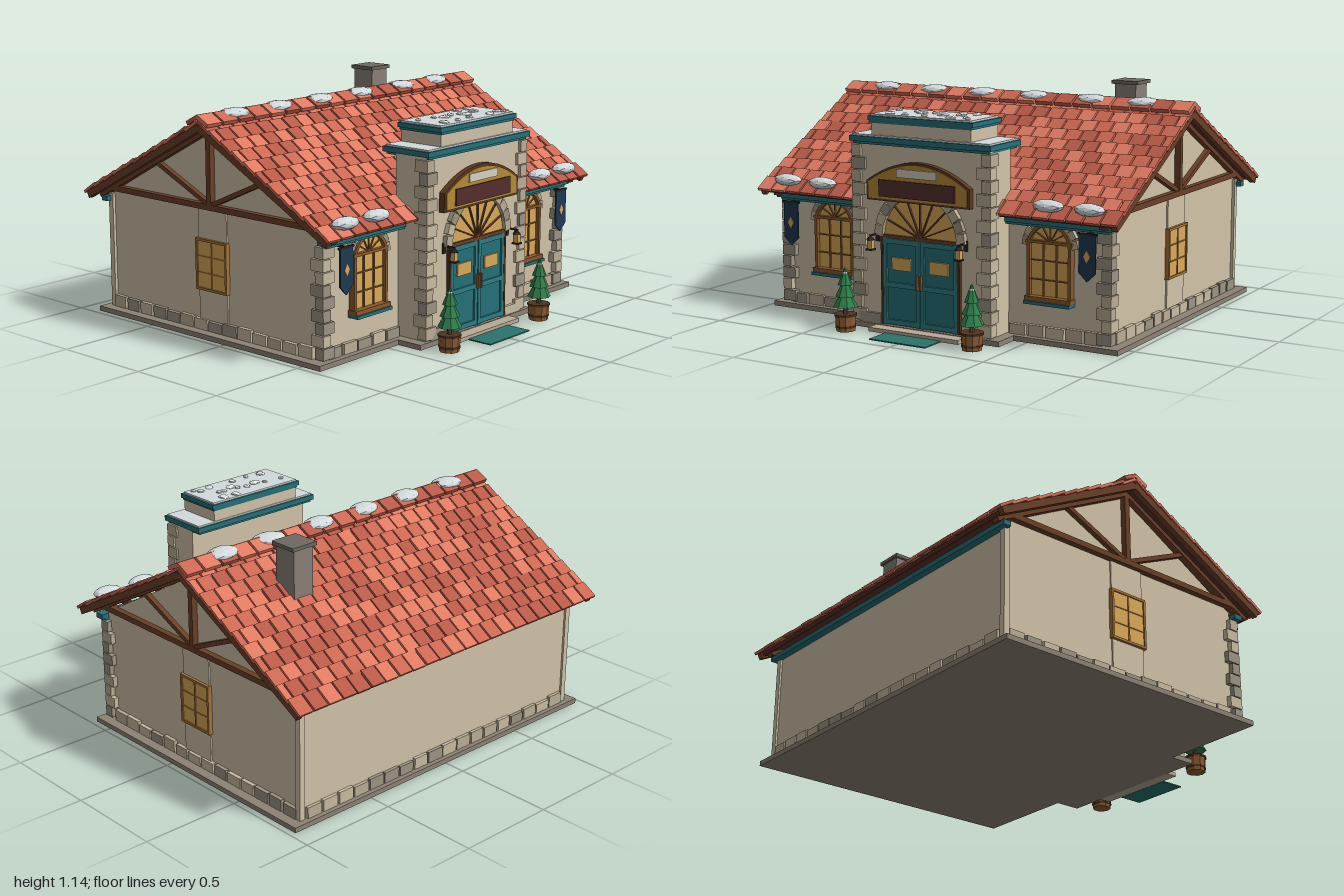
import * as THREE from 'three';
import { mergeGeometries } from 'three/addons/utils/BufferGeometryUtils.js';

const WALL = 0xd2c3a8, TEAL = 0x26707a, WOOD = 0x6b4028, GOLD = 0xdba95a, SNOW = 0xd3dadd, DARK = 0x2a2422;
const STONES = [0xbcae96, 0x9d9484, 0xcabca2], TILES = [0xe07a62, 0xcc6853, 0xb95a48];

let seed = 7;
const rnd = () => (seed = (seed * 16807) % 2147483647) / 2147483647;

function place(g, x, y, z, rx = 0, ry = 0, rz = 0) {
  return g.rotateZ(rz).rotateX(rx).rotateY(ry).translate(x, y, z);
}
const box = (w, h, d, x, y, z, rx, ry, rz) => place(new THREE.BoxGeometry(w, h, d), x, y, z, rx, ry, rz);
const cyl = (r1, r2, h, n, x, y, z) => new THREE.CylinderGeometry(r1, r2, h, n).translate(x, y, z);
const extrude = (shape, depth, x, y, z) =>
  new THREE.ExtrudeGeometry(shape, { depth, bevelEnabled: false, curveSegments: 14 }).translate(x, y, z);
const polygon = (pts) => new THREE.Shape(pts.map((p) => new THREE.Vector2(...p)));

// Outline with a straight lower part and a half-round head
function archShape(r, y0, y1) {
  const s = new THREE.Shape();
  s.moveTo(-r, y0);
  s.lineTo(r, y0);
  s.lineTo(r, y1);
  s.absarc(0, y1, r, 0, Math.PI, false);
  s.closePath();
  return s;
}
function archFrame(ro, ri, y0, y1, inset) {
  const s = archShape(ro, y0, y1);
  s.holes.push(archShape(ri, y0 + inset, y1));
  return s;
}

export function createModel() {
  const model = new THREE.Group();
  const add = (name, color, geoms, parent = model) => {
    const flat = geoms.map((g) => (g.index ? g.toNonIndexed() : g));
    const mat = new THREE.MeshStandardMaterial({ color, flatShading: true });
    const mesh = new THREE.Mesh(mergeGeometries(flat), mat);
    mesh.name = name;
    parent.add(mesh);
    return mesh;
  };
  // Spread pieces over the shades of a palette
  const addMixed = (name, palette, geoms, parent) => palette.forEach((c, i) => {
    const part = geoms.filter((g) => g.shade === i);
    if (part.length) add(name + (i + 1), c, part, parent);
  });
  const shade = (g, i = Math.floor(rnd() * 3)) => { g.shade = i; return g; };

  // Foundation, porch slab, step, mat
  add('foundation', 0x8d8375, [box(1.94, 0.025, 1.5, 0, 0.0125, -0.14), box(0.86, 0.025, 0.2, 0, 0.0125, 0.645)]);
  add('doorStep', 0xb9aa96, [box(0.5, 0.02, 0.1, 0, 0.012, 0.76)]);
  add('doorMat', 0x2a746c, [box(0.31, 0.006, 0.13, 0, 0.004, 0.875)]);

  // Walls with gables
  const profile = polygon([[-0.56, 0.02], [0.85, 0.02], [0.85, 0.6], [0.13, 0.99], [-0.56, 0.6]]);
  add('walls', WALL, [extrude(profile, 1.8, 0, 0, -0.9).rotateY(Math.PI / 2)]);
  add('cornerBoards', WALL, [-1, 1].flatMap((s) => [
    box(0.03, 0.58, 0.03, s * 0.9, 0.31, -0.845), box(0.016, 0.55, 0.19, s * 0.9, 0.35, -0.13)]));

  // Base stones around all sides
  const base = [];
  const course = (a, b, make) => {
    const n = Math.round((b - a) / 0.1), w = (b - a) / n;
    for (let i = 0; i < n; i++) {
      base.push(shade(make(a + (i + 0.5) * w, w * (0.82 + 0.14 * rnd()), 0.045 + 0.015 * rnd())));
    }
  };
  for (const s of [-1, 1]) {
    course(-0.84, 0.52, (z, w, h) => box(0.03, h, w, s * 0.905, 0.025 + h / 2, z));
    course(s < 0 ? -0.88 : 0.38, s < 0 ? -0.38 : 0.88, (x, w, h) => box(w, h, 0.03, x, 0.025 + h / 2, 0.565));
    course(s < 0 ? -0.36 : 0.22, s < 0 ? -0.22 : 0.36, (x, w, h) => box(w, h, 0.03, x, 0.025 + h / 2, 0.725));
  }
  course(-0.88, 0.88, (x, w, h) => box(w, h, 0.03, x, 0.025 + h / 2, -0.852));
  addMixed('baseStone', STONES, base);

  // Corner quoins of the house and the entrance tower
  const quoins = [];
  const quoinStack = (x, zFront, y1, n) => {
    const h = (y1 - 0.03) / n;
    for (let i = 0; i < n; i++) {
      const w = i % 2 ? 0.05 : 0.075, d = i % 2 ? 0.075 : 0.05;
      for (const s of [-1, 1]) {
        quoins.push(shade(box(w, h * 0.92, d, s * (x - w / 2), 0.03 + (i + 0.5) * h, zFront - d / 2)));
      }
    }
  };
  quoinStack(0.925, 0.59, 0.555, 9);
  quoinStack(0.385, 0.74, 0.885, 14);
  addMixed('quoin', STONES, quoins);

  // Roof: two mirrored slopes with staggered tiles
  const pitch = Math.atan(0.43 / 0.81), length = 0.917, rows = 11, step = length / rows, col = 2 / 23;
  for (const side of [0, 1]) {
    const slope = new THREE.Group();
    slope.name = side ? 'backRoofSlope' : 'frontRoofSlope';
    slope.position.set(0, 1.03, -0.13);
    slope.rotation.set(pitch, side * Math.PI, 0, 'YXZ');
    model.add(slope);
    add('roofDeck', 0x5a2f26, [box(1.97, 0.02, length - 0.01, 0, -0.01, length / 2 - 0.01)], slope);
    add('bargeBoards', WOOD, [-1, 1].map((s) => box(0.03, 0.035, length - 0.01, s * 0.975, -0.012, length / 2)), slope);
    const tiles = [];
    for (let r = 0; r < rows; r++) {
      const odd = r % 2;
      for (let c = 0; c < 23 + odd; c++) {
        const x0 = Math.max(-1, -1 + (c - odd * 0.5) * col), x1 = Math.min(1, -1 + (c + 1 - odd * 0.5) * col);
        const d = (r + 0.5) * step, lift = 0.004 * rnd();
        tiles.push(shade(box(x1 - x0 - 0.009, 0.014, step + 0.012, (x0 + x1) / 2, 0.011 + lift, d, 0.09)));
      }
    }
    addMixed('roofTile', TILES, tiles, slope);
  }
  const caps = [];
  for (let i = 0; i < 19; i++) {
    const w = 2 / 19, x = -1 + (i + 0.5) * w;
    for (const s of [-1, 1]) caps.push(shade(box(w - 0.012, 0.02, 0.08, x, 1.05, -0.13 + s * 0.033, s * pitch)));
  }
  addMixed('ridgeTile', TILES, caps);

  // Timber framing on both gables
  const timber = [];
  for (const s of [-1, 1]) {
    const x = s * 0.91;
    timber.push(box(0.04, 0.028, 1.46, x, 0.632, -0.13), box(0.04, 0.38, 0.028, x, 0.82, -0.13));
    for (const k of [-1, 1]) {
      timber.push(box(0.03, 0.022, 0.45, x, 0.728, -0.13 + k * 0.2, -k * 0.42));
      timber.push(box(0.04, 0.025, 0.88, x, 0.792, -0.13 + k * 0.39, k * pitch));
    }
  }
  add('gableTimbers', WOOD, timber);

  // Rafter tails and teal eaves boards
  const tails = [];
  for (const x of [0.44, 0.55, 0.66, 0.77, 0.88]) {
    for (const s of [-1, 1]) tails.push(box(0.025, 0.025, 0.08, s * x, 0.605, 0.6));
  }
  add('rafterTails', WOOD, tails);
  add('eavesBoards', TEAL, [-1, 1].flatMap((s) => [
    box(0.55, 0.026, 0.05, s * 0.66, 0.574, 0.59), box(0.53, 0.012, 0.04, s * 0.65, 0.555, 0.585)])
    .concat([box(1.88, 0.025, 0.04, 0, 0.575, -0.865)]));

  // Chimney
  add('chimney', 0x8a8079, [box(0.115, 0.4, 0.125, 0.525, 0.92, -0.395)]);
  add('chimneyCap', 0x6f6963, [box(0.145, 0.018, 0.145, 0.525, 1.127, -0.395)]);

  // Side windows
  for (const s of [-1, 1]) {
    const x = s * 0.91;
    add('sideWindowPane', GOLD, [box(0.012, 0.23, 0.19, x, 0.347, -0.13)]);
    const bars = [box(0.02, 0.25, 0.007, x, 0.347, -0.13)];
    for (const y of [0.307, 0.387]) bars.push(box(0.018, 0.006, 0.2, x, y, -0.13));
    for (const k of [-1, 1]) {
      bars.push(box(0.024, 0.25, 0.012, x, 0.347, -0.13 + k * 0.098), box(0.024, 0.012, 0.2, x, 0.347 + k * 0.119, -0.13));
    }
    add('sideWindowFrame', 0xa5733a, bars);
  }

  // Ring of wedge stones over an opening
  const archStones = (cx, cy, z, r, n, size) => Array.from({ length: n }, (_, i) => {
    const a = Math.PI * (i + 0.5) / n;
    return shade(box(size, Math.PI * r / n * 0.92, 0.04, cx + r * Math.cos(a), cy + r * Math.sin(a), z, 0, 0, a));
  });
  const fan = (cx, cy, z, r, n, t) => Array.from({ length: n }, (_, i) => {
    const a = Math.PI * (i + 1) / (n + 1);
    return box(r, t, 0.012, cx + r / 2 * Math.cos(a), cy + r / 2 * Math.sin(a), z, 0, 0, a);
  });

  // Arched front windows and hanging banners
  for (const s of [-1, 1]) {
    const x = s * 0.605, y = 0.455;
    add('frontWindowPane', GOLD, [extrude(archShape(0.105, 0.21, y), 0.02, x, 0, 0.555)]);
    const bars = [extrude(archFrame(0.115, 0.1, 0.2, y, 0.015), 0.04, x, 0, 0.555),
      box(0.24, 0.014, 0.03, x, 0.478, 0.58), box(0.24, 0.02, 0.05, x, 0.213, 0.585), ...fan(x, 0.478, 0.576, 0.085, 5, 0.005)];
    for (const k of [-1, 1]) bars.push(box(0.007, 0.26, 0.015, x + k * 0.034, 0.345, 0.575));
    for (const h of [0.3, 0.39]) bars.push(box(0.2, 0.006, 0.014, x, h, 0.575));
    add('frontWindowFrame', 0x8a5a2c, bars);
    add('frontWindowSill', TEAL, [box(0.24, 0.016, 0.06, x, 0.195, 0.59)]);
    addMixed('windowArchStone', STONES, archStones(x, y, 0.565, 0.128, 9, 0.035));

    const bx = s * 0.828;
    add('banner', 0x1f3a52, [extrude(polygon([[-0.043, 0.545], [-0.043, 0.37], [0, 0.33], [0.043, 0.37], [0.043, 0.545]]), 0.008, bx, 0, 0.636)]);
    add('bannerDiamond', GOLD, [extrude(polygon([[0, 0.415], [0.017, 0.445], [0, 0.475], [-0.017, 0.445]]), 0.004, bx, 0, 0.643)]);
    add('bannerPole', DARK, [box(0.1, 0.01, 0.01, bx, 0.548, 0.64), box(0.01, 0.01, 0.08, bx, 0.548, 0.6)]);
  }

  // Entrance tower with stepped cornices
  add('tower', WALL, [box(0.75, 0.88, 0.18, 0, 0.46, 0.635), box(0.55, 0.1, 0.24, 0, 0.96, 0.61)]);
  add('towerCornices', TEAL, [box(0.78, 0.026, 0.275, 0, 0.912, 0.613), box(0.75, 0.012, 0.255, 0, 0.893, 0.613),
    box(0.58, 0.022, 0.26, 0, 1.012, 0.61), box(0.56, 0.012, 0.25, 0, 0.995, 0.61)]);
  add('towerSnow', SNOW, [box(0.76, 0.01, 0.255, 0, 0.928, 0.613), box(0.555, 0.012, 0.24, 0, 1.026, 0.61)]);
  const lumps = [];
  for (let i = 0; i < 18; i++) {
    const r = 0.013 + 0.014 * rnd();
    lumps.push(new THREE.IcosahedronGeometry(1, 0).scale(r * 1.2, 0.01, r).rotateY(rnd() * 3)
      .translate((rnd() - 0.5) * 0.48, 1.034, 0.61 + (rnd() - 0.5) * 0.18));
  }
  add('towerSnowLumps', 0xe4e9eb, lumps);

  // Double door under a fan light
  add('fanLight', GOLD, [extrude(archShape(0.205, 0.44, 0.455), 0.02, 0, 0, 0.712)]);
  add('fanLightBars', WOOD, [...fan(0, 0.46, 0.735, 0.2, 7, 0.006), box(0.43, 0.016, 0.03, 0, 0.457, 0.73)]);
  addMixed('doorArchStone', STONES, archStones(0, 0.455, 0.73, 0.228, 13, 0.045));
  for (const s of [-1, 1]) {
    const x = s * 0.105, rails = [];
    add('doorLeaf', TEAL, [box(0.204, 0.42, 0.02, x, 0.24, 0.725)]);
    for (const k of [-1, 1]) rails.push(box(0.02, 0.42, 0.012, x + k * 0.092, 0.24, 0.738));
    for (const y of [0.045, 0.225, 0.435]) rails.push(box(0.19, 0.024, 0.012, x, y, 0.738));
    add('doorRails', 0x2d7d85, rails);
    add('doorGlass', GOLD, [box(0.105, 0.06, 0.012, x, 0.328, 0.738)]);
    add('doorHandle', 0x8a5a2c, [box(0.01, 0.07, 0.02, s * 0.011, 0.25, 0.75)]);
    add('doorJamb', 0x4a3020, [box(0.014, 0.43, 0.03, s * 0.212, 0.245, 0.73)]);

    // Wall lanterns
    const lx = s * 0.245;
    add('lanternGlass', GOLD, [box(0.026, 0.045, 0.026, lx, 0.42, 0.79)]);
    add('lanternMetal', DARK, [box(0.036, 0.008, 0.036, lx, 0.396, 0.79), cyl(0.006, 0.026, 0.016, 4, lx, 0.45, 0.79),
      box(0.008, 0.008, 0.07, lx, 0.462, 0.76), box(0.02, 0.05, 0.008, lx, 0.45, 0.73)]);

    // Potted fir trees
    const tx = s * 0.352, tz = 0.852;
    add('treePot', 0x8f5d33, [cyl(0.053, 0.047, 0.08, 10, tx, 0.043, tz)]);
    add('treePotBands', 0x4f3420, [cyl(0.056, 0.056, 0.01, 10, tx, 0.08, tz), cyl(0.052, 0.051, 0.01, 10, tx, 0.025, tz)]);
    add('treeTrunk', WOOD, [cyl(0.01, 0.012, 0.05, 6, tx, 0.105, tz)]);
    add('treeFoliage', 0x2f7d4b, [[0.058, 0.12, 0.1], [0.048, 0.17, 0.09], [0.036, 0.225, 0.08]]
      .map(([r, y, h]) => cyl(0.004, r, h, 8, tx, y + h / 2, tz)));
    add('treeSnowTip', SNOW, [cyl(0, 0.014, 0.03, 8, tx, 0.296, tz)]);
  }

  // Signboard with an arched top and blank panels
  const board = (w, y0, y1, top) => {
    const s = new THREE.Shape();
    s.moveTo(-w, y0);
    s.lineTo(w, y0);
    s.lineTo(w, y1);
    s.quadraticCurveTo(0, 2 * top - y1, -w, y1);
    s.closePath();
    return s;
  };
  add('signBorder', 0x5a3a20, [extrude(board(0.285, 0.628, 0.72, 0.82), 0.03, 0, 0, 0.73)]);
  add('signBoard', 0xb98a35, [extrude(board(0.272, 0.638, 0.715, 0.808), 0.035, 0, 0, 0.73)]);
  add('signDarkPanel', 0x552f2c, [box(0.42, 0.08, 0.012, 0, 0.69, 0.766)]);
  add('signLightPanel', 0xd9d2c2, [box(0.22, 0.04, 0.01, 0, 0.767, 0.766)]);

  // Snow clumps on the ridge and the front eaves
  const clump = (x, y, z, w, h, d) =>
    new THREE.IcosahedronGeometry(1, 1).scale(w, h, d).rotateY((rnd() - 0.5) * 0.3).translate(x, y, z);
  add('ridgeSnow', SNOW, [-0.76, -0.46, -0.17, 0.13, 0.45, 0.73].map((x) => clump(x, 1.056, -0.13, 0.09, 0.028, 0.062)));
  add('eavesSnow', SNOW, [-0.84, -0.63, 0.63, 0.84].map((x) => clump(x, 0.66, 0.645, 0.078, 0.03, 0.048)));
  return model;
}
